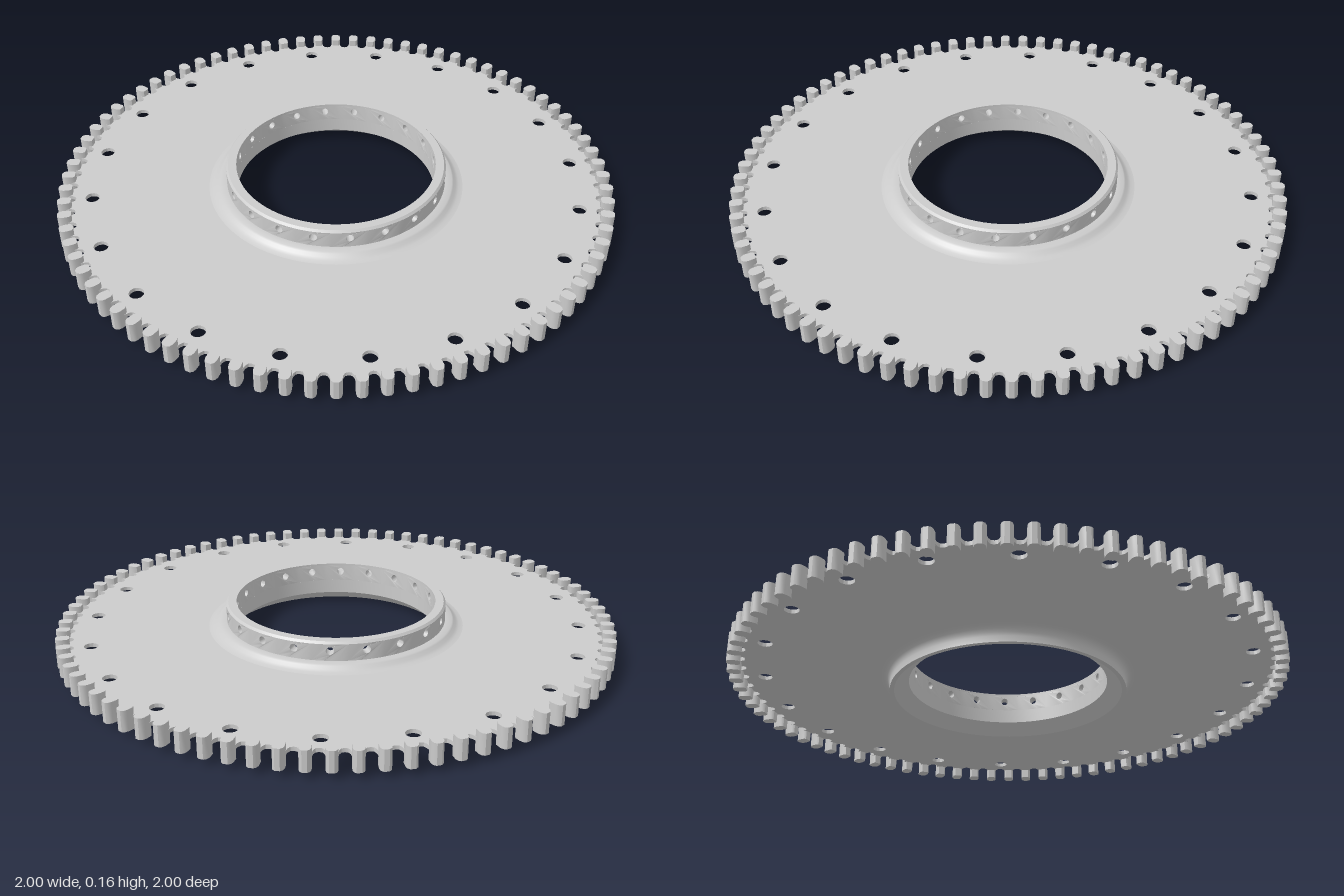
import * as THREE from 'three';
import { mergeGeometries, toCreasedNormals } from 'three/addons/utils/BufferGeometryUtils.js';

const TEETH = 80, HOLES = 20, TAU = Math.PI * 2;
const material = new THREE.MeshStandardMaterial({ color: 0xcccccc });

function part(name, geometry, crease = 0.6) {
  const mesh = new THREE.Mesh(toCreasedNormals(geometry, crease), material);
  mesh.name = name;
  return mesh;
}

function circlePath(x, y, r) {
  return new THREE.Path().absarc(x, y, r, 0, TAU, true);
}

// Ring from a closed (radius, height) section, counter-clockwise
function ring(section) {
  const pts = section.map(([r, y]) => new THREE.Vector2(r, y));
  return new THREE.LatheGeometry([...pts, pts[0].clone()], 96);
}

// Thin toothed disc with a central opening and a circle of holes
function plateGeometry() {
  const pts = [];
  const half = Math.PI / TEETH;
  // one tooth outline: [fraction of half pitch, radius]
  const outline = [[-1, 0.938], [-0.72, 0.941], [-0.54, 0.952], [-0.46, 0.972],
    [0.46, 0.972], [0.54, 0.952], [0.72, 0.941]];
  for (let i = 0; i < TEETH; i++) {
    for (const [f, r] of outline) {
      const a = (2 * i + 1 + f) * half;
      pts.push(new THREE.Vector2(r * Math.cos(a), r * Math.sin(a)));
    }
  }
  const shape = new THREE.Shape(pts);
  shape.holes.push(circlePath(0, 0, 0.415));
  for (let i = 0; i < HOLES; i++) {
    const a = (i / HOLES) * TAU;
    shape.holes.push(circlePath(0.88 * Math.cos(a), 0.88 * Math.sin(a), 0.025));
  }
  const g = new THREE.ExtrudeGeometry(shape, { depth: 0.014, bevelEnabled: false, curveSegments: 24 });
  return g.rotateX(-Math.PI / 2).translate(0, 0.056, 0);
}

// Upright rounded post at the tip of each tooth
function teethGeometry() {
  const side = [[0.952, 0.012], [0.96, 0.018], [0.982, 0.019], [0.993, 0.016], [1.0, 0.008]];
  const plan = [...side.map(([r, w]) => [r, -w]), ...side.reverse()];
  const shape = new THREE.Shape(plan.map(([r, w]) => new THREE.Vector2(r, w)));
  const post = new THREE.ExtrudeGeometry(shape, { depth: 0.073, bevelEnabled: false })
    .rotateX(-Math.PI / 2).translate(0, 0.022, 0);
  const all = [];
  for (let i = 0; i < TEETH; i++) all.push(post.clone().rotateY(((i + 0.5) / TEETH) * TAU));
  return mergeGeometries(all);
}

// Collar wall: pierced flat panels bent round the axis
function collarWallGeometry(inner, outer, y0, y1, holeY, holeR) {
  const w = Math.PI / HOLES, steps = 6, pts = [];
  for (let i = 0; i <= steps; i++) pts.push(new THREE.Vector2(-w + (2 * w * i) / steps, y0));
  for (let i = steps; i >= 0; i--) pts.push(new THREE.Vector2(-w + (2 * w * i) / steps, y1));
  const shape = new THREE.Shape(pts);
  shape.holes.push(new THREE.Path().absellipse(0, holeY, holeR / outer, holeR, 0, TAU, true, 0));
  const panel = new THREE.ExtrudeGeometry(shape, { depth: outer - inner, bevelEnabled: false, curveSegments: 8 });
  const p = panel.attributes.position;
  for (let i = 0; i < p.count; i++) {
    const a = p.getX(i), r = inner + p.getZ(i);
    p.setXYZ(i, r * Math.sin(a), p.getY(i), r * Math.cos(a));
  }
  const all = [];
  for (let i = 0; i < HOLES; i++) all.push(panel.clone().rotateY((i / HOLES) * TAU));
  return mergeGeometries(all);
}

export function createModel() {
  const model = new THREE.Group();
  model.name = 'sprocket';
  model.add(part('plate', plateGeometry()));
  model.add(part('teeth', teethGeometry()));

  // Hub foot with a chamfered bore, blended into the plate above and below
  model.add(part('hubBase', ring([
    [0.412, 0], [0.428, 0], [0.428, 0.022], [0.431, 0.035], [0.438, 0.046], [0.448, 0.053], [0.462, 0.056],
    [0.462, 0.07], [0.447, 0.073], [0.436, 0.079], [0.428, 0.088], [0.422, 0.092], [0.397, 0.092],
    [0.36, 0.092], [0.36, 0.04],
  ])));

  // Pierced collar and its chamfered rim
  model.add(part('collarWall', collarWallGeometry(0.36, 0.397, 0.092, 0.152, 0.128, 0.014)));
  model.add(part('collarRim', ring([
    [0.36, 0.152], [0.397, 0.152], [0.39, 0.16], [0.36, 0.16],
  ])));
  return model;
}
